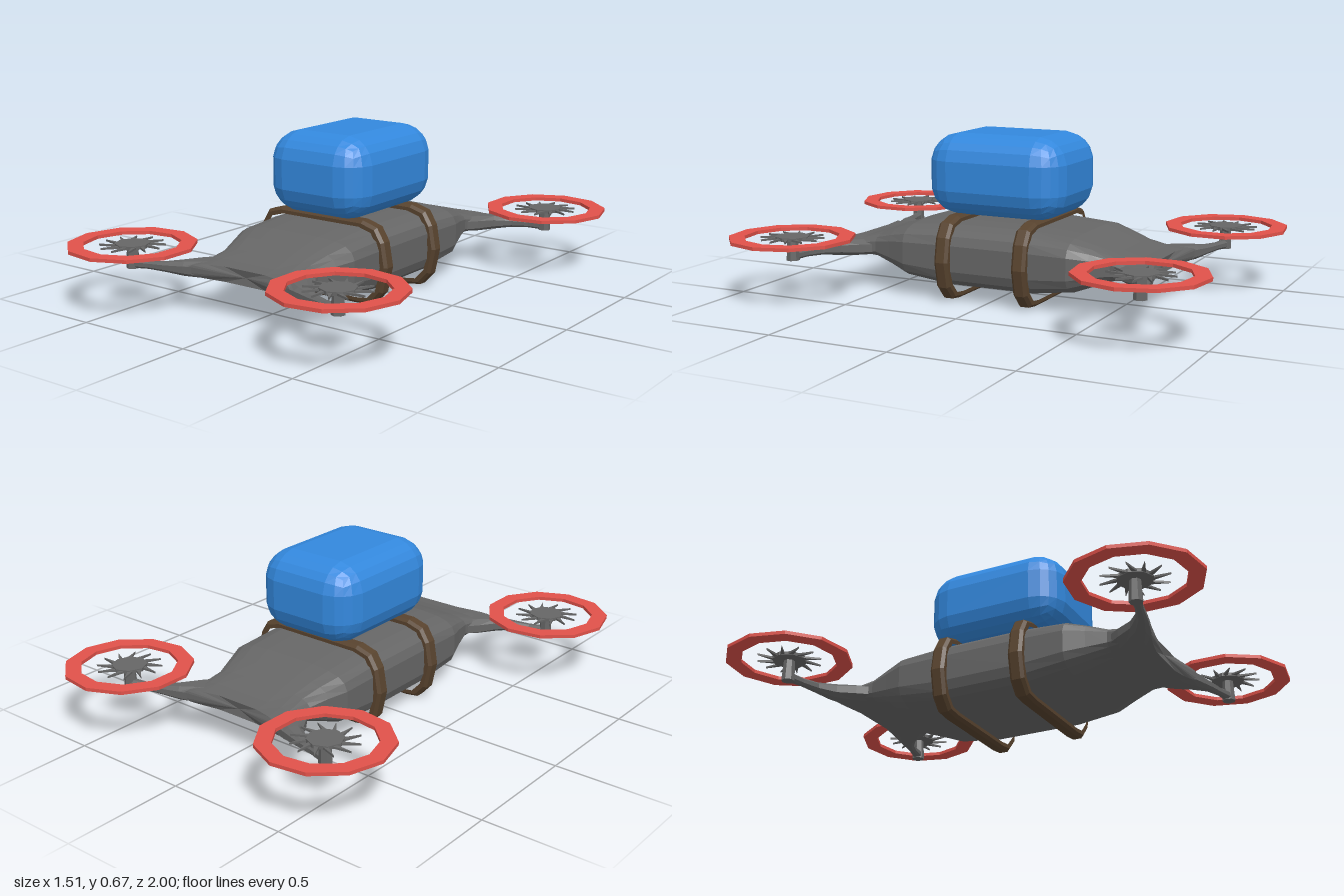
import * as THREE from 'three';
import { RoundedBoxGeometry } from 'three/addons/geometries/RoundedBoxGeometry.js';

const paint = (color) => new THREE.MeshStandardMaterial({ color, flatShading: true });
const GREY = paint(0x666666), RED = paint(0xe0524a), BLUE = paint(0x3388dd), BROWN = paint(0x58432e);

function part(name, geometry, material, parent) {
  const mesh = new THREE.Mesh(geometry, material);
  mesh.name = name;
  parent.add(mesh);
  return mesh;
}

// Skins a row of superellipse sections { x, y, z, w, h, dir } and caps both ends.
function loft(sections, sides, power, bend = () => 0) {
  const pos = [], index = [];
  const soft = (v) => Math.sign(v) * Math.abs(v) ** power;
  sections.forEach((s) => {
    const [dx, dz] = s.dir;
    for (let j = 0; j < sides; j++) {
      const a = ((j + 0.5) / sides) * Math.PI * 2;
      const u = soft(Math.cos(a)) * s.w, v = soft(Math.sin(a)) * s.h;
      pos.push(s.x + dz * u, s.y + v, s.z - dx * u + bend(s, u));
    }
  });
  const last = sections.length - 1;
  for (let i = 0; i < last; i++) {
    for (let j = 0; j < sides; j++) {
      const k = (j + 1) % sides, a = i * sides + j, b = i * sides + k;
      index.push(a, b, b + sides, a, b + sides, a + sides);
    }
  }
  const c = pos.length / 3;
  [sections[0], sections[last]].forEach((s) => pos.push(s.x, s.y, s.z));
  for (let j = 0; j < sides; j++) {
    const k = (j + 1) % sides;
    index.push(c, k, j, c + 1, last * sides + j, last * sides + k);
  }
  const g = new THREE.BufferGeometry();
  g.setAttribute('position', new THREE.Float32BufferAttribute(pos, 3));
  g.setIndex(index);
  g.computeVertexNormals();
  return g;
}

// Fat middle, flattening to concave lips at both ends.
function bodyGeometry() {
  const half = [ // z, half width, bottom, top
    [0.18, 0.29, 0.05, 0.315], [0.36, 0.29, 0.075, 0.3], [0.44, 0.262, 0.105, 0.275],
    [0.52, 0.238, 0.135, 0.245], [0.6, 0.245, 0.148, 0.223], [0.655, 0.25, 0.155, 0.215]];
  const section = (k) => ([z, w, lo, hi]) =>
    ({ x: 0, y: (lo + hi) / 2, z: z * k, w, h: (hi - lo) / 2, dir: [0, 1] });
  const sections = [...half.map(section(-1)).reverse(), ...half.map(section(1))];
  return loft(sections, 20, 0.5, (s, u) =>
    Math.abs(s.z) > 0.64 ? Math.sign(s.z) * 0.045 * (u / 0.25) ** 2 : 0);
}

function armGeometry() {
  const rows = [ // x, z, half width, half height
    [0.14, 0.56, 0.1, 0.036], [0.23, 0.63, 0.07, 0.035], [0.29, 0.675, 0.04, 0.03],
    [0.36, 0.708, 0.022, 0.02], [0.43, 0.728, 0.016, 0.016], [0.5, 0.745, 0.022, 0.019]];
  return loft(rows.map(([x, z, w, h], i) => {
    const t = 0.7 - i * 0.09;
    return { x, y: 0.182, z, w, h, dir: [Math.cos(t), Math.sin(t)] };
  }), 8, 0.8);
}

// Flat shape extruded upward from y = 0.
function slab(shape, depth) {
  return new THREE.ExtrudeGeometry(shape, { depth, bevelEnabled: false }).rotateX(-Math.PI / 2);
}

const polar = (r, a) => new THREE.Vector2(r * Math.cos(a), r * Math.sin(a));
const polygon = (r, n) => Array.from({ length: n }, (_, i) => polar(r, (i / n) * Math.PI * 2));

function fanGeometry() {
  const n = 12, step = (Math.PI * 2) / n, points = [];
  for (let i = 0; i < n; i++) {
    points.push(polar(0.062, i * step), polar(0.13, (i + 0.75) * step), polar(0.062, (i + 0.62) * step));
  }
  return slab(new THREE.Shape(points), 0.008);
}

function guardGeometry() {
  const shape = new THREE.Shape(polygon(0.255, 11));
  shape.holes.push(new THREE.Path(polygon(0.192, 11)));
  return slab(shape, 0.014);
}

// Closed band around the body, thin in section.
function strapGeometry() {
  const side = [[0.2, 0.333], [0.262, 0.315], [0.293, 0.265], [0.31, 0.17],
    [0.288, 0.07], [0.245, 0.023], [0.19, 0.016]];
  const outline = [...side, ...side.map(([x, y]) => [-x, y]).reverse()];
  const shape = new THREE.Shape(outline.map(([x, y]) => new THREE.Vector2(x, y)));
  shape.holes.push(new THREE.Path(outline.map(([x, y]) =>
    new THREE.Vector2(x * 0.94, 0.175 + (y - 0.175) * 0.91))));
  return new THREE.ExtrudeGeometry(shape, { depth: 0.036, bevelEnabled: true,
    bevelThickness: 0.012, bevelSize: 0.011, bevelSegments: 1 }).translate(0, 0, -0.018);
}

// Soft box whose sides swell slightly toward the middle.
function parcelGeometry() {
  const g = new RoundedBoxGeometry(0.45, 0.32, 0.56, 2, 0.1);
  const p = g.attributes.position;
  for (let i = 0; i < p.count; i++) {
    const x = p.getX(i) / 0.225, y = p.getY(i) / 0.16, z = p.getZ(i) / 0.28;
    p.setXYZ(i,
      x * 0.24 * (1 - 0.06 * y * y - 0.05 * z * z),
      y * 0.171 * (1 - 0.05 * x * x - 0.04 * z * z),
      z * 0.303 * (1 - 0.05 * y * y - 0.05 * x * x));
  }
  g.computeVertexNormals();
  return g;
}

export function createModel() {
  const model = new THREE.Group();
  model.name = 'deliveryDrone';
  part('body', bodyGeometry(), GREY, model);
  part('parcel', parcelGeometry(), BLUE, model).position.set(0.01, 0.505, 0);

  const strap = strapGeometry();
  for (const z of [-0.17, 0.17]) part('strap', strap, BROWN, model).position.z = z;

  // Four mirrored corners, each with an arm, post, fan and guard ring.
  const arm = armGeometry(), fan = fanGeometry(), guard = guardGeometry();
  const post = new THREE.CylinderGeometry(0.022, 0.027, 0.09, 7);
  const hub = new THREE.CylinderGeometry(0.07, 0.07, 0.014, 8);
  for (const sx of [-1, 1]) {
    for (const sz of [-1, 1]) {
      const corner = new THREE.Group();
      corner.name = 'rotorCorner';
      corner.scale.set(sx, 1, sz);
      part('arm', arm, GREY, corner);
      part('post', post, GREY, corner).position.set(0.5, 0.208, 0.745);
      part('hub', hub, GREY, corner).position.set(0.5, 0.256, 0.745);
      part('fanBlades', fan, GREY, corner).position.set(0.5, 0.251, 0.745);
      part('guardRing', guard, RED, corner).position.set(0.502, 0.248, 0.746);
      model.add(corner);
    }
  }
  return model;
}
